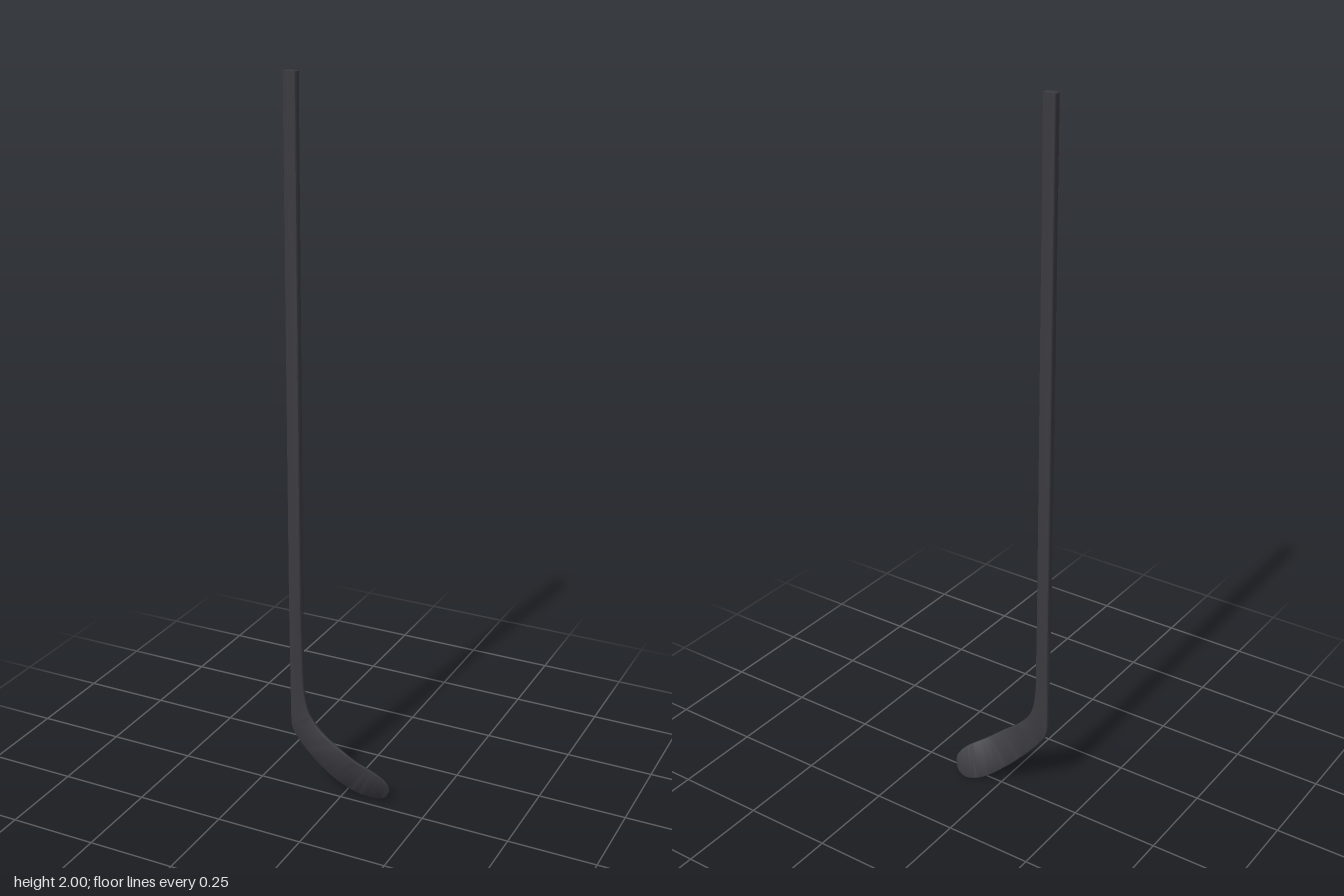
import * as THREE from 'three';
import { toCreasedNormals } from 'three/addons/utils/BufferGeometryUtils.js';

const CORNER = 4; // segments per rounded corner

// Rounded rectangle outline, counter-clockwise, centred on the origin
function roundedRing(w, t) {
  const r = Math.min(0.005, t * 0.45, w * 0.45);
  const pts = [];
  [[1, 1], [-1, 1], [-1, -1], [1, -1]].forEach(([sx, sy], q) => {
    for (let k = 0; k <= CORNER; k++) {
      const a = (q + k / CORNER) * Math.PI / 2;
      pts.push([sx * (w / 2 - r) + r * Math.cos(a), sy * (t / 2 - r) + r * Math.sin(a)]);
    }
  });
  return pts;
}

// Loft through sections { a, b, t }: two edge points and a thickness
function loft(sections, capStart, capEnd) {
  const mids = sections.map(s => s.a.clone().add(s.b).multiplyScalar(0.5));
  const n = 4 * (CORNER + 1), last = sections.length - 1;
  const pos = [], index = [];
  sections.forEach((s, i) => {
    const tangent = mids[Math.min(i + 1, last)].clone().sub(mids[Math.max(i - 1, 0)]);
    const across = s.b.clone().sub(s.a);
    const width = across.length();
    across.normalize();
    const normal = tangent.cross(across).normalize();
    for (const [u, v] of roundedRing(width, s.t)) {
      pos.push(...mids[i].clone().addScaledVector(across, u).addScaledVector(normal, v).toArray());
    }
  });
  for (let i = 0; i < last; i++) {
    for (let j = 0; j < n; j++) {
      const k = (j + 1) % n, p = i * n, q = p + n;
      index.push(p + j, p + k, q + j, p + k, q + k, q + j);
    }
  }
  const cap = (i, flip) => {
    const c = pos.length / 3;
    pos.push(...mids[i].toArray());
    for (let j = 0; j < n; j++) {
      const p = i * n + j, q = i * n + (j + 1) % n;
      index.push(c, flip ? q : p, flip ? p : q);
    }
  };
  if (capStart) cap(0, true);
  if (capEnd) cap(last, false);
  const geo = new THREE.BufferGeometry();
  geo.setAttribute('position', new THREE.Float32BufferAttribute(pos, 3));
  geo.setIndex(index);
  return toCreasedNormals(geo, 0.7);
}

const V = (x, y, z) => new THREE.Vector3(x, y, z);

export function createModel() {
  const group = new THREE.Group();
  group.name = 'hockeyStick';
  const material = new THREE.MeshStandardMaterial({ color: 0x3a3a40 });
  const add = (name, geo) => {
    const mesh = new THREE.Mesh(geo, material);
    mesh.name = name;
    group.add(mesh);
  };

  // Straight shaft with a flat butt end
  add('shaft', loft([2, 0.6].map(y => (
    { a: V(-0.138, y, 0.028), b: V(-0.102, y, 0.028), t: 0.023 })), true, false));

  // Neck, heel and curved blade: lower edge xyz, upper edge xyz, thickness
  const stations = [
    [-0.138, 0.6, 0.028, -0.102, 0.6, 0.028, 0.023],
    [-0.138, 0.45, 0.028, -0.1, 0.45, 0.028, 0.020],
    [-0.138, 0.33, 0.028, -0.097, 0.34, 0.028, 0.015],
    [-0.138, 0.25, 0.028, -0.09, 0.285, 0.028, 0.013],
    [-0.135, 0.205, 0.027, -0.077, 0.25, 0.028, 0.012],
    [-0.112, 0.166, 0.025, -0.043, 0.208, 0.026, 0.011],
    [-0.065, 0.11, 0.018, 0.008, 0.167, 0.021, 0.010],
    [-0.012, 0.057, 0.003, 0.05, 0.133, 0.010, 0.009],
    [0.04, 0.017, -0.020, 0.085, 0.109, -0.003, 0.008],
    [0.073, 0.004, -0.034, 0.107, 0.093, -0.011, 0.008],
    [0.1, 0.002, -0.039, 0.124, 0.076, -0.019, 0.007],
    [0.122, 0.013, -0.038, 0.134, 0.059, -0.026, 0.006],
    [0.133, 0.03, -0.034, 0.136, 0.044, -0.031, 0.004],
  ];
  const lower = new THREE.CatmullRomCurve3(stations.map(s => V(s[0], s[1], s[2])));
  const upper = new THREE.CatmullRomCurve3(stations.map(s => V(s[3], s[4], s[5])));
  const steps = (stations.length - 1) * 4;
  const sections = [];
  for (let i = 0; i <= steps; i++) {
    const f = i / 4, k = Math.min(Math.floor(f), stations.length - 2);
    sections.push({
      a: lower.getPoint(i / steps),
      b: upper.getPoint(i / steps),
      t: THREE.MathUtils.lerp(stations[k][6], stations[k + 1][6], f - k),
    });
  }
  add('blade', loft(sections, false, true));
  return group;
}
